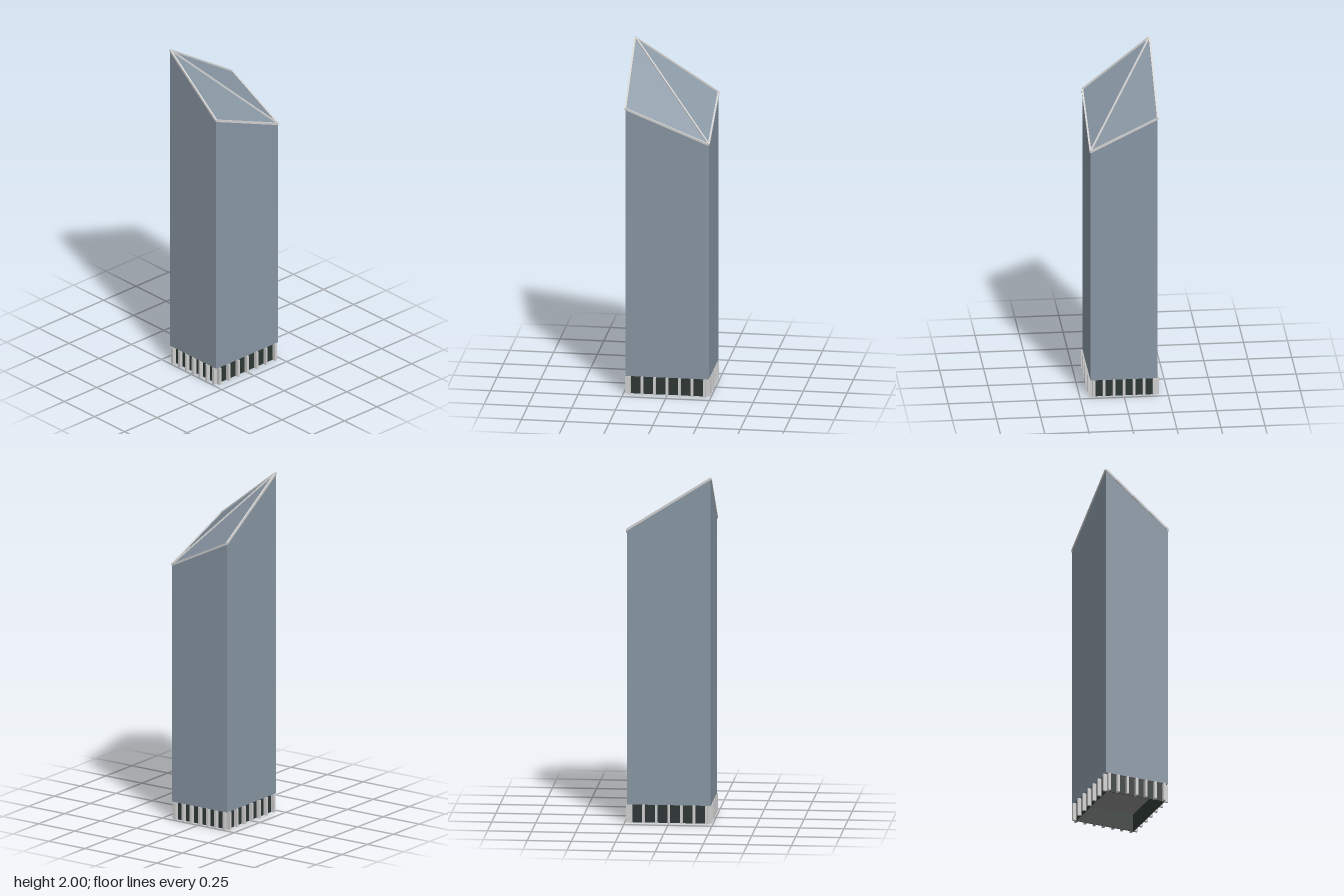
import * as THREE from 'three';

export function createModel() {
  const model = new THREE.Group();
  const mat = (name, color) => {
    const m = new THREE.MeshStandardMaterial({ color });
    m.name = name;
    return m;
  };
  const facade = mat('blue grey facade', 0x8896a3);
  const trim = mat('light grey trim', 0xd0d0d0);
  const dark = mat('dark base', 0x2e3735);
  const soffit = mat('grey soffit', 0x8c8c8e);

  const add = (name, geometry, material, x = 0, y = 0, z = 0, parent = model) => {
    const mesh = new THREE.Mesh(geometry, material);
    mesh.name = name;
    mesh.position.set(x, y, z);
    parent.add(mesh);
    return mesh;
  };

  const BX = 0.191, BZ = 0.238, BASE = 0.105;

  // Height of each roof corner: highest at front right, lowest at back left
  const cornerHeight = (x, z) => (x < 0 ? (z > 0 ? 1.993 : 1.69) : (z > 0 ? 1.69 : 1.5));

  // Tower shaft: a box whose top corners are raised to the folded roof
  const shaft = new THREE.BoxGeometry(BX * 2, 1, BZ * 2).toNonIndexed();
  const p = shaft.attributes.position;
  for (let i = 0; i < p.count; i++) {
    p.setY(i, p.getY(i) > 0 ? cornerHeight(p.getX(i), p.getZ(i)) : BASE);
  }
  shaft.computeVertexNormals();
  add('towerShaft', shaft, [facade, facade, facade, soffit, facade, facade]);

  // Roof trim bars around the rim and along the diagonal ridge
  const corner = (sx, sz) => new THREE.Vector3(sx * BX, cornerHeight(sx, sz), sz * BZ);
  const rim = [corner(-1, 1), corner(1, 1), corner(1, -1), corner(-1, -1)];
  const bar = (name, a, b) => {
    const mesh = add(name, new THREE.BoxGeometry(0.01, 0.012, a.distanceTo(b)), trim);
    mesh.position.lerpVectors(a, b, 0.5);
    mesh.lookAt(b);
  };
  rim.forEach((a, i) => bar('roofRimBar', a, rim[(i + 1) % 4]));
  bar('roofRidgeBar', rim[0], rim[2]);

  // Hollow dark base wall, set back under the shaft and open below
  const SX = 0.179, SZ = 0.22, T = 0.004;
  for (const s of [-1, 1]) {
    add('baseWall', new THREE.BoxGeometry(SX * 2, BASE, T), dark, 0, BASE / 2, s * (SZ - T / 2));
    add('baseWall', new THREE.BoxGeometry(T, BASE, SZ * 2), dark, s * (SX - T / 2), BASE / 2, 0);
  }

  // Upright fins: seven on every side of the base
  const fins = new THREE.Group();
  fins.name = 'baseFins';
  model.add(fins);
  for (let i = -3; i <= 3; i++) {
    for (const s of [-1, 1]) {
      add('baseFin', new THREE.BoxGeometry(0.014, BASE, 0.025), trim,
        i * 0.0567, BASE / 2, s * 0.2305, fins);
      add('baseFin', new THREE.BoxGeometry(0.022, BASE, 0.014), trim,
        s * 0.189, BASE / 2, i * 0.0715, fins);
    }
  }
  return model;
}
